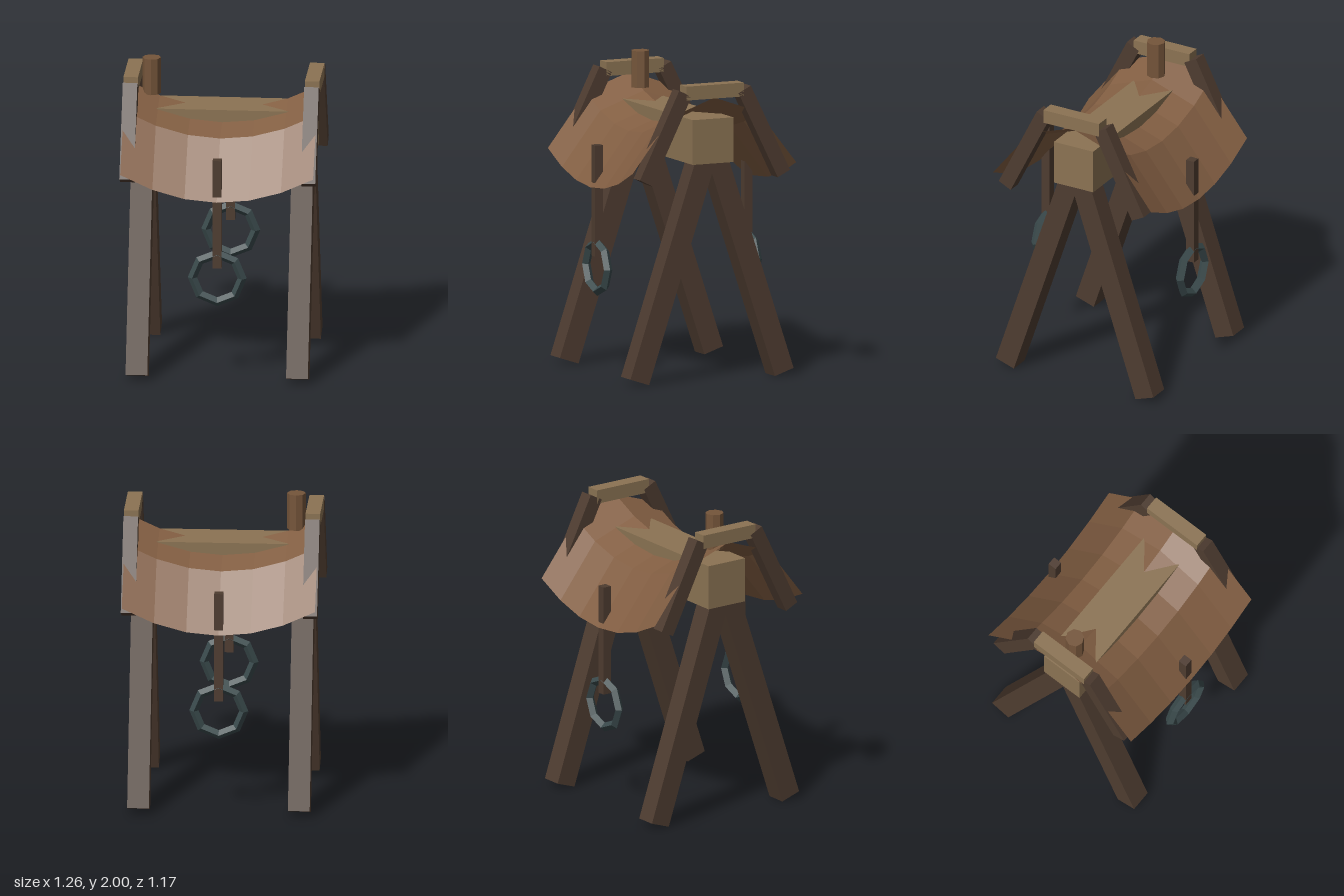
import * as THREE from 'three';

const mat = (color, side = THREE.FrontSide) =>
  new THREE.MeshStandardMaterial({ color, side, flatShading: true });

export function createModel() {
  const root = new THREE.Group();
  const darkWood = mat(0x4e3c30);
  const paleWood = mat(0x8b7353);
  const leather = mat(0x825e42, THREE.DoubleSide);
  const pegWood = mat(0x75553a);
  const iron = mat(0x3a4a4c);

  const add = (name, geometry, material, x, y, z, tilt = 0) => {
    const mesh = new THREE.Mesh(geometry, material);
    mesh.name = name;
    mesh.position.set(x, y, z);
    mesh.rotation.x = tilt;
    root.add(mesh);
    return mesh;
  };
  // Square bar between two (y, z) points, lying in a plane of constant x
  const addBar = (name, w, d, x, y0, z0, y1, z1) => {
    const length = Math.hypot(y1 - y0, z1 - z0);
    add(name, new THREE.BoxGeometry(w, length, d), darkWood,
      x, (y0 + y1) / 2, (z0 + z1) / 2, Math.atan2(z1 - z0, y1 - y0));
  };

  // Main beam
  add('beam', new THREE.BoxGeometry(1.2, 0.29, 0.29), paleWood, 0, 1.555, 0);

  // Saddle sheet: folded over the beam, sagging toward the middle
  const sheet = new THREE.PlaneGeometry(1.24, 4, 6, 4).rotateX(-Math.PI / 2);
  const fold = [[0, 1.67], [0.31, 1.56], [0.583, 1.213]];
  const p = sheet.attributes.position;
  for (let i = 0; i < p.count; i++) {
    const [z, y] = fold[Math.round(Math.abs(p.getZ(i)))];
    p.setY(i, y + 0.17 * (p.getX(i) / 0.62) ** 2);
    p.setZ(i, Math.sign(p.getZ(i)) * z);
  }
  sheet.computeVertexNormals();
  add('saddle', sheet, leather, 0, 0, 0);

  // Legs and the raised frames at both ends
  for (const sx of [-1, 1]) {
    add('frameCap', new THREE.BoxGeometry(0.094, 0.09, 0.41), paleWood, sx * 0.583, 1.88, 0);
    for (const sz of [-1, 1]) {
      addBar('leg', 0.14, 0.14, sx * 0.516, 0.023, sz * 0.515, 1.5, sz * 0.021);
      addBar('frameRail', 0.094, 0.098, sx * 0.583, 1.317, sz * 0.491, 1.88, sz * 0.211);
    }
  }

  // Stirrup straps and rings
  for (const sz of [-1, 1]) {
    add('stirrupStrap', new THREE.BoxGeometry(0.057, 0.72, 0.057), darkWood, 0, 1.125, sz * 0.533);
    add('stirrupRing', new THREE.TorusGeometry(0.16, 0.03, 4, 8), iron, 0, 0.695, sz * 0.533);
  }

  // Horn peg
  add('horn', new THREE.CylinderGeometry(0.06, 0.06, 0.238, 8), pegWood, -0.465, 1.881, 0);

  return root;
}
